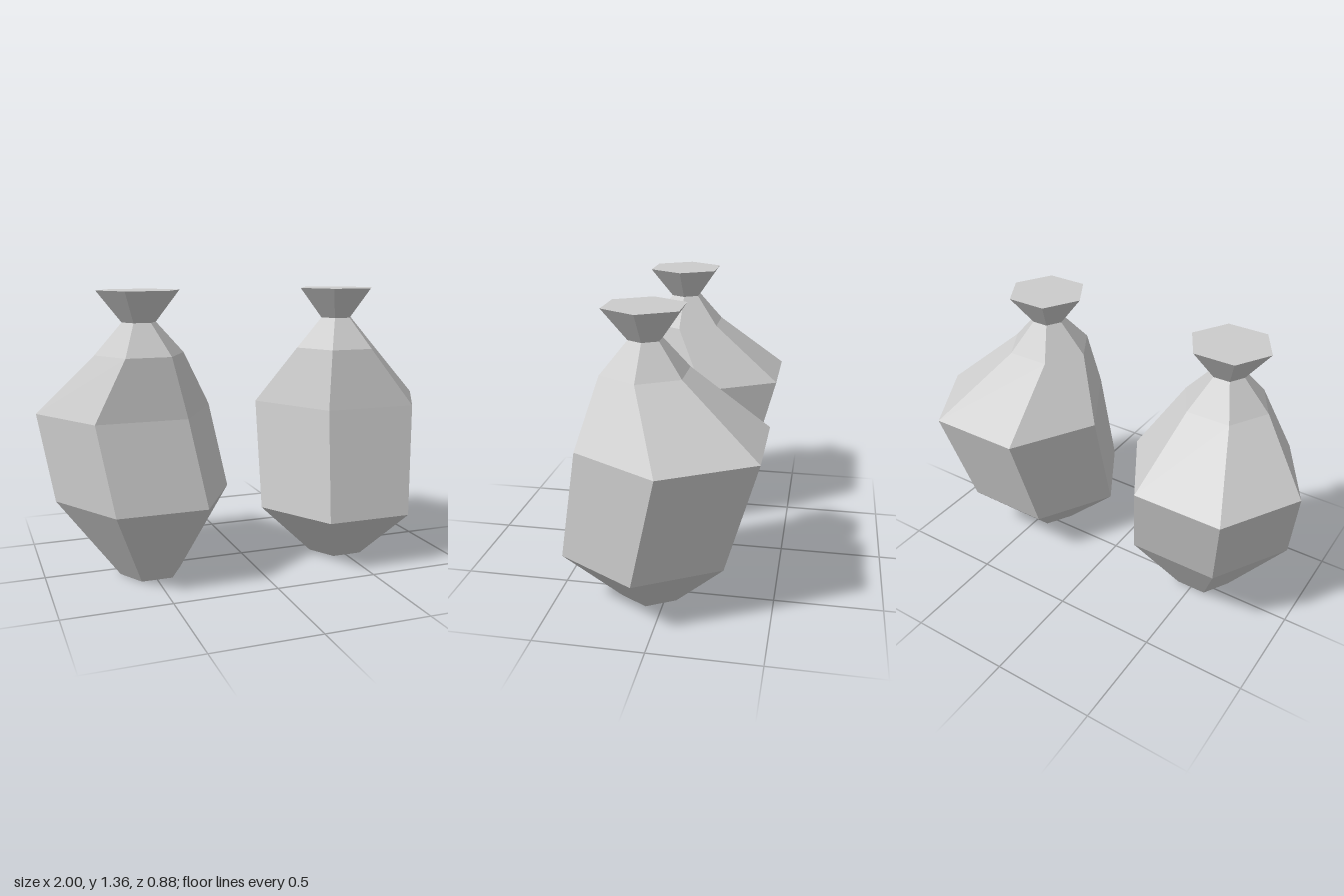
import * as THREE from 'three';

const material = new THREE.MeshStandardMaterial({ color: 0xcccccc, flatShading: true });

// Hexagonal sack skinned through rings of [y, radius, centreX, centreZ], bottom to top.
function makeSack(name, rings) {
  const steps = rings.length - 1;
  // Unit six-sided column with corners on the x axis; each row is then scaled and shifted.
  const column = new THREE.CylinderGeometry(1, 1, steps, 6, steps, false, Math.PI / 2);
  const pos = column.attributes.position;
  for (let i = 0; i < pos.count; i++) {
    const [y, r, cx, cz] = rings[Math.round(pos.getY(i) + steps / 2)];
    pos.setXYZ(i, pos.getX(i) * r + cx, y, pos.getZ(i) * r + cz);
  }
  const geometry = column.toNonIndexed();
  geometry.computeVertexNormals();
  const mesh = new THREE.Mesh(geometry, material);
  mesh.name = name;
  return mesh;
}

// Pinched neck and flared, closed top shared by both sacks.
const tiedTop = (cx) => [
  [1.07, 0.21, cx, 0.1],
  [1.215, 0.08, cx, 0.098],
  [1.36, 0.195, cx, 0.1],
];

export function createModel() {
  const group = new THREE.Group();
  group.name = 'tiedSacks';

  // Upright sack
  group.add(makeSack('rightSack', [
    [0, 0.15, -0.5, 0.075],
    [0.39, 0.422, -0.517, 0.055],
    [0.79, 0.422, -0.578, -0.052],
    ...tiedTop(-0.535),
  ]));

  // Sagging sack that bulges backwards
  group.add(makeSack('leftSack', [
    [0, 0.15, 0.505, 0.075],
    [0.26, 0.422, 0.505, 0.075],
    [0.79, 0.453, 0.547, -0.049],
    ...tiedTop(0.467),
  ]));

  return group;
}
